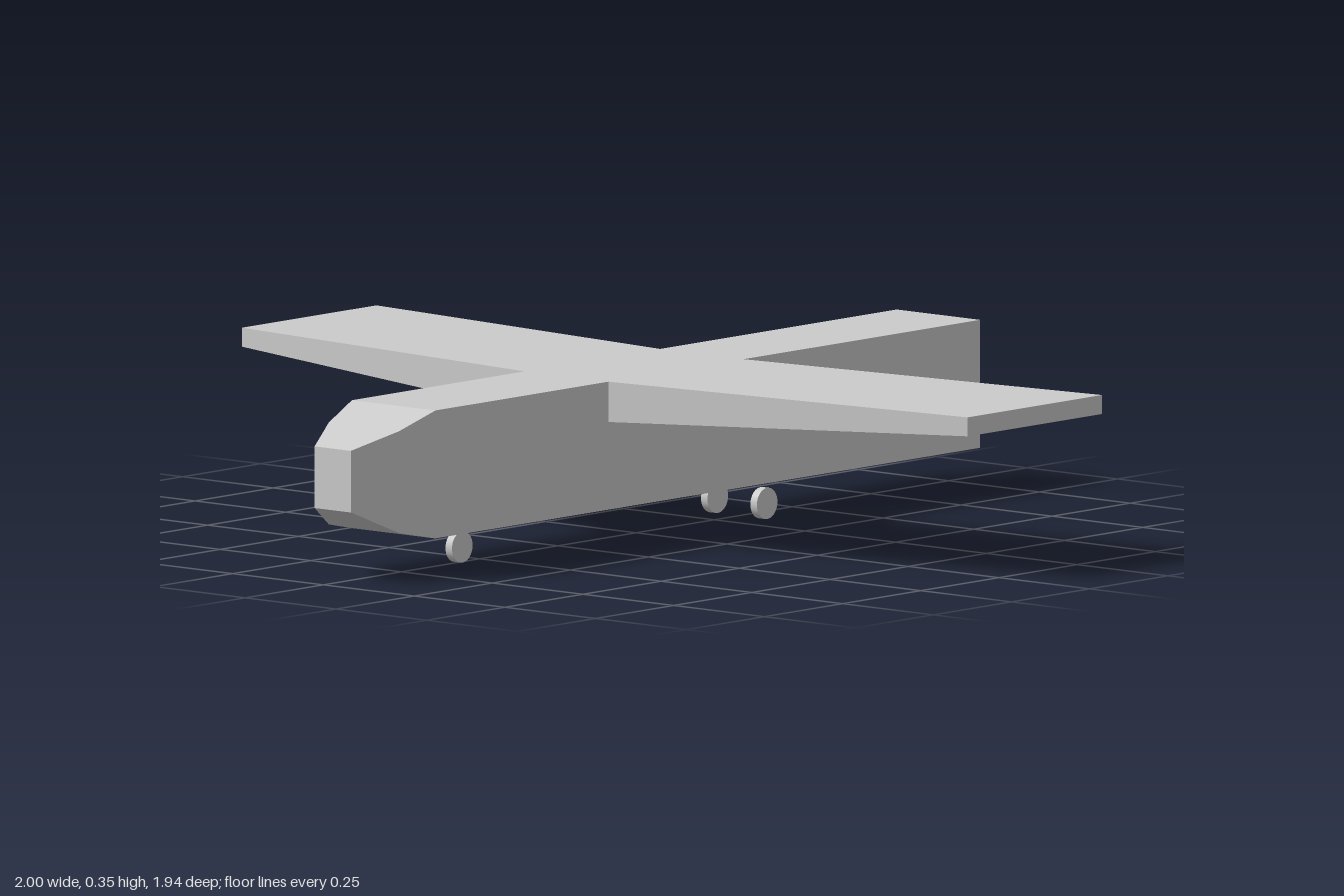
import * as THREE from 'three';

const material = new THREE.MeshStandardMaterial({ color: 0xcccccc, flatShading: true });
const wheelMaterial = new THREE.MeshStandardMaterial({ color: 0xcccccc });

// Joins rectangular sections [z, x0, x1, y0, y1], given from low z to high z, and caps both ends
function loftRects(sections) {
  const positions = [];
  const rings = sections.map(([z, x0, x1, y0, y1]) =>
    [[x0, y0, z], [x1, y0, z], [x1, y1, z], [x0, y1, z]]);
  const quad = (a, b, c, d) => positions.push(...a, ...b, ...c, ...a, ...c, ...d);
  for (let i = 0; i < rings.length - 1; i++) {
    const p = rings[i], q = rings[i + 1];
    for (let k = 0; k < 4; k++) {
      const n = (k + 1) % 4;
      quad(p[k], p[n], q[n], q[k]);
    }
  }
  const first = rings[0], last = rings[rings.length - 1];
  quad(first[3], first[2], first[1], first[0]);
  quad(...last);
  const geometry = new THREE.BufferGeometry();
  geometry.setAttribute('position', new THREE.Float32BufferAttribute(positions, 3));
  geometry.computeVertexNormals();
  return geometry;
}

export function createModel() {
  const model = new THREE.Group();
  model.name = 'airplane';
  const add = (name, geometry, mat = material) => {
    const mesh = new THREE.Mesh(geometry, mat);
    mesh.name = name;
    model.add(mesh);
    return mesh;
  };

  // Box fuselage with a slight bevel at the tail and a two-step tapered nose
  add('fuselage', loftRects([
    [-0.97, -0.108, 0.108, 0.092, 0.348],
    [-0.967, -0.115, 0.115, 0.085, 0.355],
    [0.775, -0.115, 0.115, 0.085, 0.355],
    [0.87, -0.097, 0.097, 0.105, 0.32],
    [0.97, -0.05, 0.05, 0.155, 0.285],
  ]));

  // Swept wings, thinner at the tips: lofted along z, then turned outward
  for (const [name, side] of [['leftWing', 1], ['rightWing', -1]]) {
    const section = (span, back, front, bottom, top) =>
      side > 0 ? [span, -front, -back, bottom, top] : [span, back, front, bottom, top];
    const geometry = loftRects([
      section(0.115, -0.21, 0.222, 0.27, 0.355),
      section(1, -0.33, 0.1, 0.31, 0.35),
    ]);
    add(name, geometry.rotateY(side * Math.PI / 2));
  }

  // One nose wheel and a pair of main wheels
  const wheelGeometry = new THREE.CylinderGeometry(0.033, 0.033, 0.018, 32).rotateZ(Math.PI / 2);
  for (const [name, x, z] of [
    ['noseWheel', 0, 0.566],
    ['leftMainWheel', 0.068, -0.33],
    ['rightMainWheel', -0.068, -0.33],
  ]) {
    add(name, wheelGeometry, wheelMaterial).position.set(x, 0.034, z);
  }

  return model;
}
